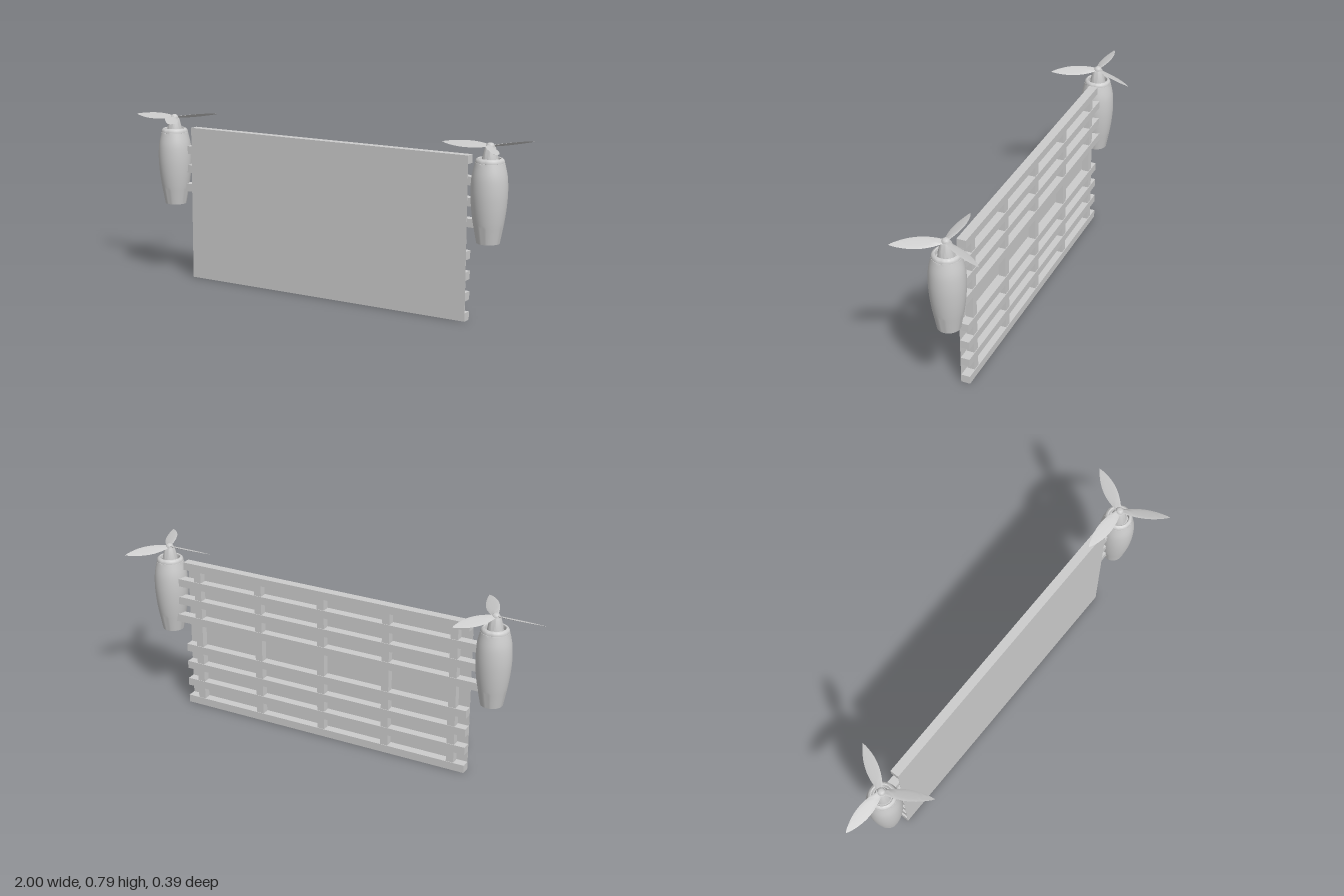
import * as THREE from 'three';
import { toCreasedNormals } from 'three/addons/utils/BufferGeometryUtils.js';

const material = new THREE.MeshStandardMaterial({ color: 0xcccccc, side: THREE.DoubleSide });

function add(parent, name, geometry) {
  const mesh = new THREE.Mesh(geometry, material);
  mesh.name = name;
  parent.add(mesh);
  return mesh;
}

// Box given by its lower and upper limits on each axis
function addBox(parent, name, [x0, x1], [y0, y1], [z0, z1]) {
  const mesh = add(parent, name, new THREE.BoxGeometry(x1 - x0, y1 - y0, z1 - z0));
  mesh.position.set((x0 + x1) / 2, (y0 + y1) / 2, (z0 + z1) / 2);
}

function lathe(points) {
  const profile = points.map(([r, y]) => new THREE.Vector2(r, y));
  return toCreasedNormals(new THREE.LatheGeometry(profile, 40), 0.5);
}

// Leaf-shaped blade with a lens section, running along +x and pitched
function bladeGeometry() {
  const length = 0.2275, pitch = 0.36;
  const geometry = new THREE.CylinderGeometry(1, 1, 1, 12, 18);
  const p = geometry.attributes.position;
  for (let i = 0; i < p.count; i++) {
    const t = p.getY(i) + 0.5;
    const half = 0.006 * (1 - t) + 0.027 * Math.pow(Math.max(0, Math.sin(Math.PI * t)), 0.8);
    const across = p.getX(i) * half;
    const thick = p.getZ(i) * (0.0005 + 0.0025 * (1 - t));
    p.setXYZ(i, t * length,
      across * Math.sin(pitch) + thick * Math.cos(pitch),
      across * Math.cos(pitch) - thick * Math.sin(pitch));
  }
  return toCreasedNormals(geometry, 0.9);
}

function createEngine(name, x, lift) {
  const engine = new THREE.Group();
  engine.name = name;
  engine.position.set(x, lift, 0);

  // Barrel-shaped shell with a hollow outlet, radii smoothed through a curve
  const shell = new THREE.SplineCurve([
    [0.05, 0.362], [0.059, 0.41], [0.068, 0.46], [0.0755, 0.52],
    [0.079, 0.585], [0.0755, 0.65], [0.063, 0.707],
  ].map(([r, y]) => new THREE.Vector2(r, y))).getPoints(24).map((v) => [v.x, v.y]);
  add(engine, 'nacelle', lathe([
    [0, 0.4], [0.043, 0.4], [0.041, 0.362], ...shell, [0.059, 0.707],
  ]));

  // Rounded lip around a shallow inlet
  add(engine, 'nacelleCap', lathe([
    [0.058, 0.707], [0.0625, 0.708], [0.062, 0.714], [0.059, 0.721],
    [0.055, 0.725], [0.05, 0.727], [0.046, 0.725], [0.044, 0.718], [0.043, 0.705], [0, 0.705],
  ]));

  // Tapered hub and rounded spinner
  add(engine, 'propellerHub', lathe([
    [0.037, 0.704], [0.034, 0.727], [0.03, 0.745], [0.025, 0.765], [0.022, 0.773], [0, 0.775],
  ]));
  add(engine, 'spinner', lathe([
    [0.019, 0.771], [0.018, 0.78], [0.014, 0.787], [0.008, 0.791], [0, 0.793],
  ]));

  const propeller = new THREE.Group();
  propeller.name = 'propeller';
  propeller.position.y = 0.778;
  engine.add(propeller);
  const geometry = bladeGeometry();
  for (let i = 0; i < 3; i++) {
    add(propeller, `blade${i + 1}`, geometry).rotation.y = Math.PI + i * Math.PI * 2 / 3;
  }
  return engine;
}

export function createModel() {
  const model = new THREE.Group();
  model.name = 'propellerPanel';
  const left = 0.783, right = -0.672;

  // Thin flat front sheet
  addBox(model, 'frontSheet', [right, left], [0, 0.728], [0.003, 0.004]);

  // Back framework: two banks of four rails; three upper rails reach the engines
  const frame = new THREE.Group();
  frame.name = 'backFrame';
  model.add(frame);
  const rails = [0, 0.091, 0.182, 0.273, 0.419, 0.51, 0.601, 0.691];
  rails.forEach((y, i) => {
    const reach = i >= 4 && i <= 6 ? 0.055 : 0;
    addBox(frame, `rail${i + 1}`, [right - reach, left + reach], [y, y + 0.037], [-0.038, 0.003]);
  });

  // Five upright posts tying the rails together
  for (let i = 0; i < 5; i++) {
    const x = 0.055 + (i - 2) * 0.328;
    addBox(frame, `post${i + 1}`, [x - 0.018, x + 0.018], [0.002, 0.726], [-0.035, -0.001]);
  }

  model.add(createEngine('leftEngine', 0.883, 0));
  model.add(createEngine('rightEngine', -0.773, -0.007));
  return model;
}
